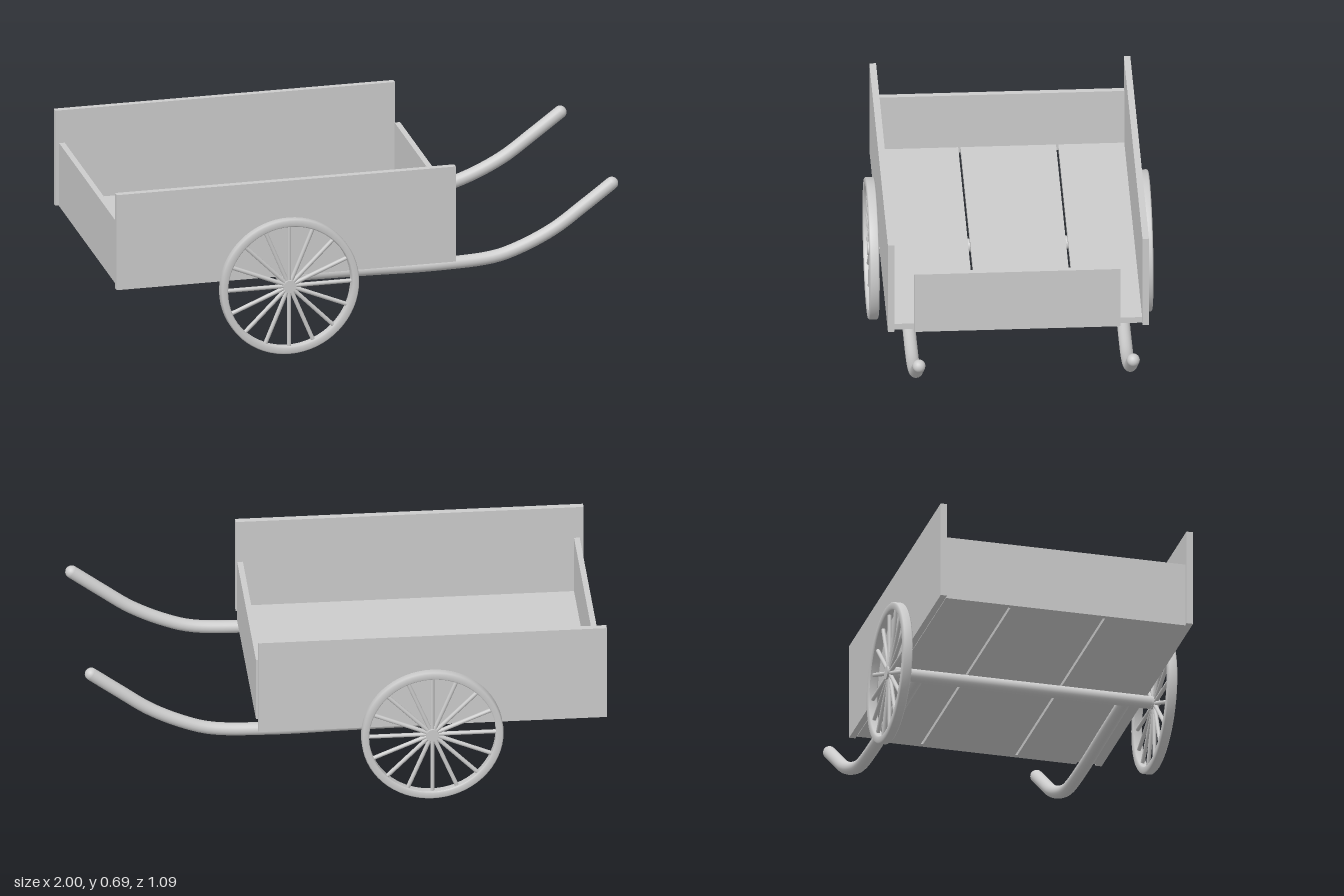
import * as THREE from 'three';

const material = new THREE.MeshStandardMaterial({ color: 0xcccccc });
const AXLE_X = -0.327, AXLE_Y = 0.273, WHEEL_R = 0.273;

function add(parent, name, geometry) {
  const mesh = new THREE.Mesh(geometry, material);
  mesh.name = name;
  parent.add(mesh);
  return mesh;
}

// Box given by its minimum and maximum on each axis
function board(parent, name, [x0, x1], [y0, y1], [z0, z1]) {
  const mesh = add(parent, name, new THREE.BoxGeometry(x1 - x0, y1 - y0, z1 - z0));
  mesh.position.set((x0 + x1) / 2, (y0 + y1) / 2, (z0 + z1) / 2);
}

// Wheel in the xy plane: rounded rim, 16 round spokes and a small hub
function makeWheel() {
  const wheel = new THREE.Group();
  const inner = WHEEL_R - 0.029, half = 0.019, b = 0.005;
  const section = [
    [inner, -half + b], [inner + b, -half], [WHEEL_R - b, -half], [WHEEL_R, -half + b],
    [WHEEL_R, half - b], [WHEEL_R - b, half], [inner + b, half], [inner, half - b], [inner, -half + b],
  ].map(([r, y]) => new THREE.Vector2(r, y));
  add(wheel, 'rim', new THREE.LatheGeometry(section, 64)).rotation.x = Math.PI / 2;

  const length = inner + 0.006;
  for (let i = 0; i < 16; i++) {
    const angle = (i * Math.PI) / 8;
    const spoke = add(wheel, 'spoke', new THREE.CylinderGeometry(0.008, 0.008, length, 10));
    spoke.position.set(-Math.sin(angle) * length / 2, Math.cos(angle) * length / 2, 0);
    spoke.rotation.z = angle;
  }
  add(wheel, 'hub', new THREE.CylinderGeometry(0.025, 0.025, 0.03, 24)).rotation.x = Math.PI / 2;
  return wheel;
}

// Pull shaft running from the axle forward and curving up to a rounded grip
function makeShaft() {
  const shaft = new THREE.Group();
  const points = [
    [AXLE_X, 0.275], [0, 0.271], [0.28, 0.267], [0.51, 0.279],
    [0.62, 0.312], [0.75, 0.375], [0.86, 0.453], [0.974, 0.537],
  ].map(([x, y]) => new THREE.Vector3(x, y, 0));
  const curve = new THREE.CatmullRomCurve3(points);
  add(shaft, 'shaftPole', new THREE.TubeGeometry(curve, 48, 0.025, 20));
  for (const end of [points[0], points[points.length - 1]]) {
    add(shaft, 'shaftEnd', new THREE.SphereGeometry(0.025, 20, 12)).position.copy(end);
  }
  return shaft;
}

export function createModel() {
  const cart = new THREE.Group();
  cart.name = 'handCart';

  // Tall side boards
  board(cart, 'leftSideBoard', [-1, 0.338], [0.303, 0.69], [0.47, 0.496]);
  board(cart, 'rightSideBoard', [-1, 0.34], [0.303, 0.69], [-0.505, -0.48]);

  // Lower end boards, the one by the shafts being narrower
  board(cart, 'tailBoard', [-0.985, -0.963], [0.3, 0.557], [-0.48, 0.47]);
  board(cart, 'headBoard', [0.317, 0.339], [0.3, 0.557], [-0.395, 0.395]);

  // Three floor planks with narrow gaps
  for (const span of [[-0.48, -0.227], [-0.218, 0.148], [0.157, 0.47]]) {
    board(cart, 'floorPlank', [-0.963, 0.317], [0.3, 0.325], span);
  }

  // Axle joining both wheels
  const axle = add(cart, 'axle', new THREE.CylinderGeometry(0.025, 0.025, 1.04, 24));
  axle.rotation.x = Math.PI / 2;
  axle.position.set(AXLE_X, AXLE_Y + 0.002, 0);

  // Wheels and shafts, mirrored across the cart
  for (const side of [1, -1]) {
    const wheel = makeWheel();
    wheel.name = side > 0 ? 'leftWheel' : 'rightWheel';
    wheel.position.set(AXLE_X, AXLE_Y, side * 0.525);
    cart.add(wheel);

    const shaft = makeShaft();
    shaft.name = side > 0 ? 'leftShaft' : 'rightShaft';
    shaft.position.z = side * 0.411;
    cart.add(shaft);
  }
  return cart;
}
